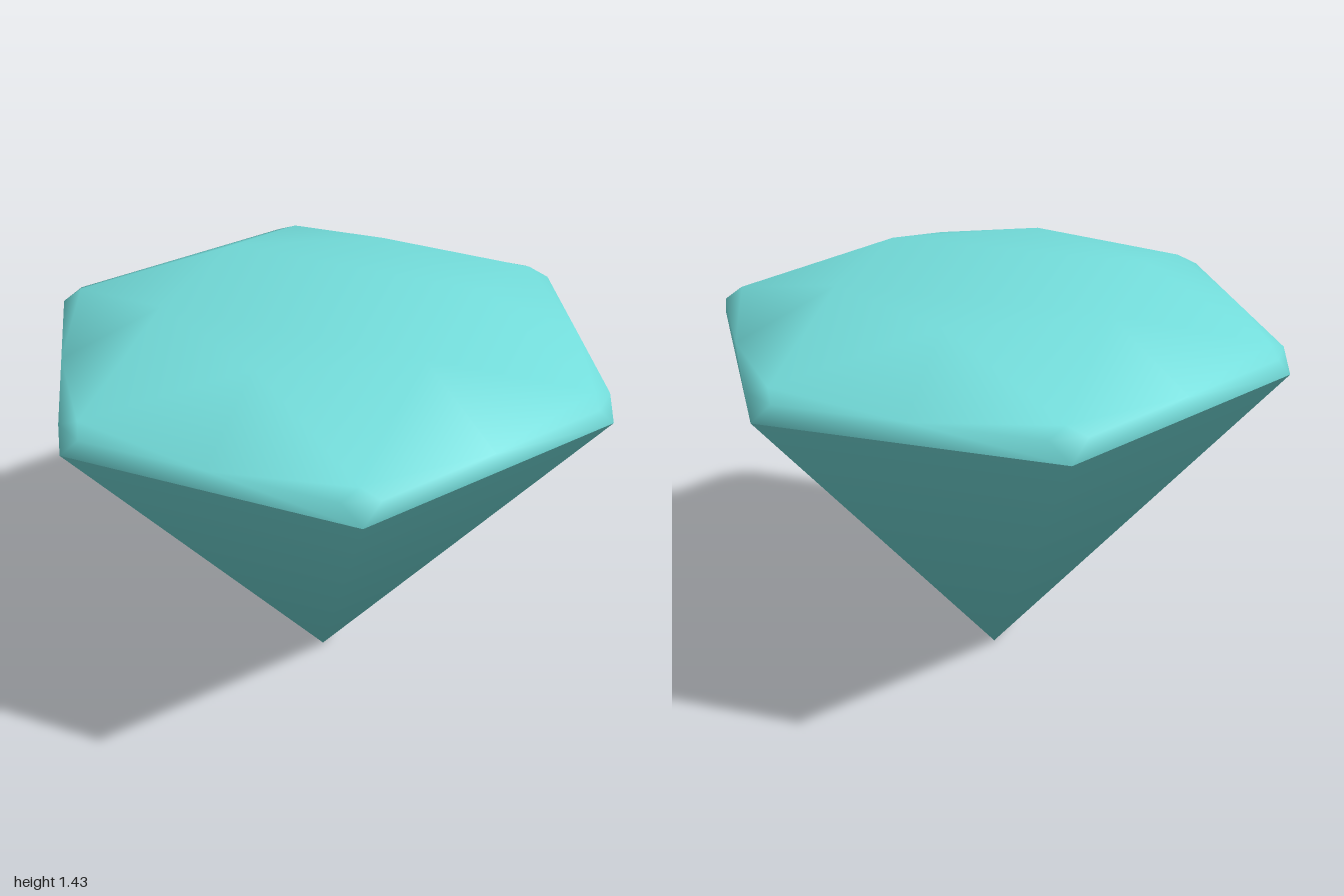
import * as THREE from 'three';

// Ring of six points; az is measured from +z toward +x, in degrees
function ring(radius, y, az) {
  return Array.from({ length: 6 }, (_, i) => {
    const t = THREE.MathUtils.degToRad(az + 60 * i);
    return [radius * Math.sin(t), y, radius * Math.cos(t)];
  });
}

// Smooth indexed mesh from points and triangles
function facetMesh(name, points, faces, material) {
  const g = new THREE.BufferGeometry();
  g.setAttribute('position', new THREE.Float32BufferAttribute(points.flat(), 3));
  g.setIndex(faces.flat());
  g.computeVertexNormals();
  const mesh = new THREE.Mesh(g, material);
  mesh.name = name;
  return mesh;
}

export function createModel() {
  const group = new THREE.Group();
  group.name = 'cutGem';
  const gem = new THREE.MeshStandardMaterial({ color: 0x74dedc });
  gem.name = 'aqua gem';

  const rim = ring(1, 1.19, 30);

  // Pavilion: six-sided point below the girdle
  const pavilionFaces = [];
  for (let i = 0; i < 6; i++) pavilionFaces.push([6, (i + 1) % 6, i]);
  group.add(facetMesh('pavilion', [...rim, [0, 0, 0]], pavilionFaces, gem));

  // Crown: girdle with clipped corners, bevels, star facets and flat table
  const cut = 3.56;
  const points = [
    ...rim,
    ...ring(0.967, 1.26, 30 - cut), // corner cut, first side
    ...ring(0.967, 1.26, 30 + cut), // corner cut, second side
    ...ring(0.866, 1.26, 0),        // middle of each girdle side
    ...ring(0.93, 1.287, 30),       // bevel tops
    ...ring(0.53, 1.43, 0),         // table corners
  ];
  const at = (row) => (i) => row * 6 + (i % 6);
  const [R, A, B, M, K, T] = [0, 1, 2, 3, 4, 5].map(at);
  const faces = [];
  for (let i = 0; i < 6; i++) {
    const j = i + 1;
    faces.push(
      // girdle side and clipped corner
      [R(i), R(j), M(j)], [R(i), M(j), B(i)], [R(j), A(j), M(j)], [R(i), B(i), A(i)],
      // bevel around the corner
      [A(i), B(i), K(i)], [B(i), M(j), K(i)], [M(i), A(i), K(i)],
      // sloping crown facets
      [M(i), K(i), T(i)], [K(i), M(j), T(j)], [K(i), T(j), T(i)],
    );
  }
  // table
  faces.push([T(0), T(1), T(5)], [T(1), T(2), T(4)], [T(1), T(4), T(5)], [T(2), T(3), T(4)]);
  group.add(facetMesh('crown', points, faces, gem));

  return group;
}
